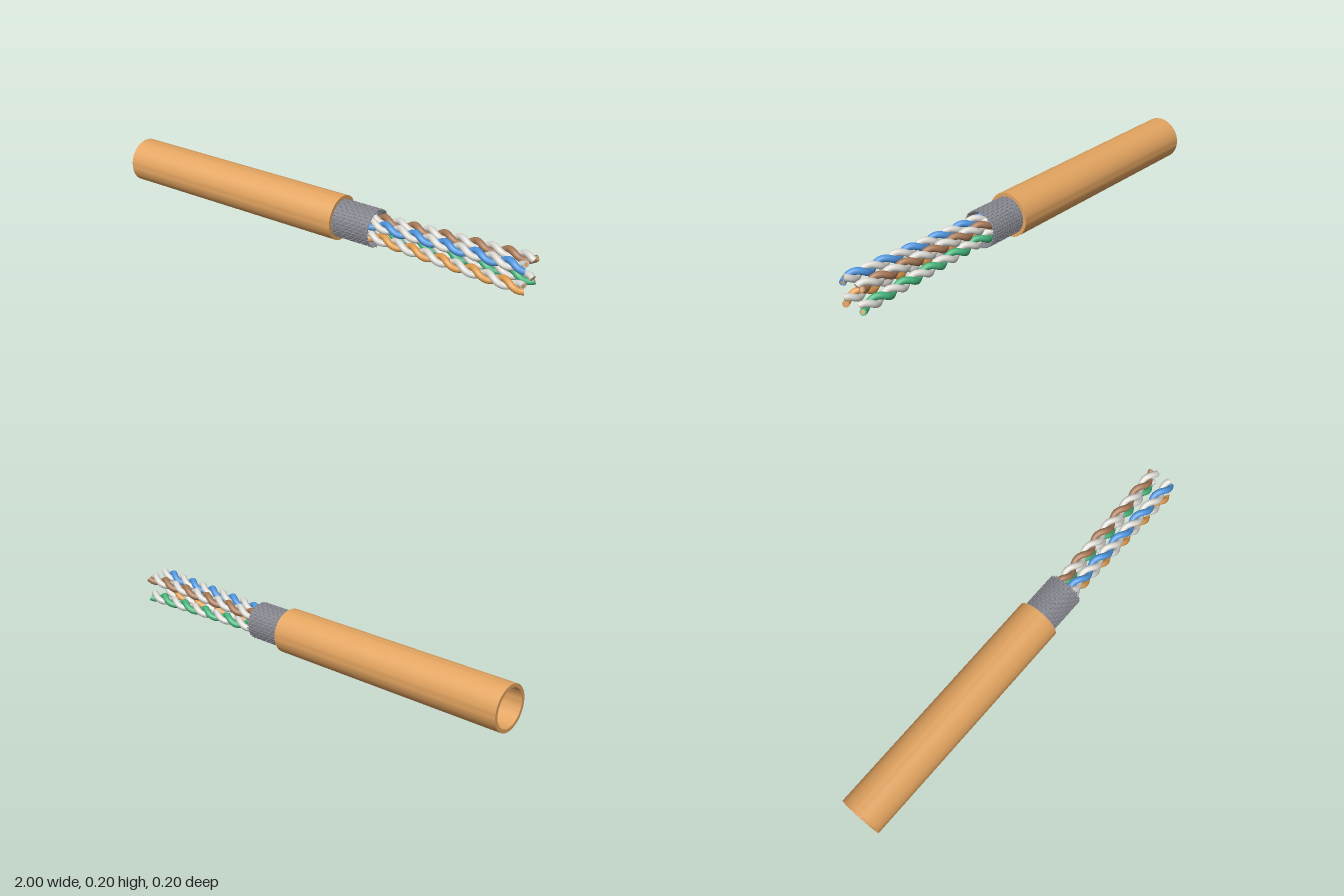
import * as THREE from 'three';
import { mergeGeometries, toCreasedNormals } from 'three/addons/utils/BufferGeometryUtils.js';

const AXIS_Y = 0.0985; // height of the cable axis

const mat = (name, color) => {
  const m = new THREE.MeshStandardMaterial({ color });
  m.name = name;
  return m;
};

// A curve defined by a function of t in 0..1
class FnCurve extends THREE.Curve {
  constructor(fn) { super(); this.fn = fn; }
  getPoint(t, target = new THREE.Vector3()) { return target.set(...this.fn(t)); }
}

const add = (parent, name, geometry, material) => {
  const mesh = new THREE.Mesh(geometry, material);
  mesh.name = name;
  parent.add(mesh);
  return mesh;
};

// Hollow pipe along x with sharp rims
function pipe(x0, x1, rOut, rIn) {
  const profile = [[rOut, x0], [rOut, x1], [rIn, x1], [rIn, x0], [rOut, x0]]
    .map(([r, x]) => new THREE.Vector2(r, x));
  return toCreasedNormals(new THREE.LatheGeometry(profile, 64).rotateZ(-Math.PI / 2), 0.6);
}

export function createModel() {
  const M = {
    jacket: mat('jacket orange', 0xe3a460),
    shield: mat('shield grey', 0x85868e),
    white: mat('wire white', 0xd9d8d2),
    blue: mat('wire blue', 0x4e95dd),
    brown: mat('wire brown', 0xa67857),
    orange: mat('wire orange', 0xe09d4e),
    green: mat('wire green', 0x46b47c),
    copper: mat('copper', 0xd6a676),
  };
  const model = new THREE.Group();
  model.name = 'strippedCable';
  const cable = new THREE.Group();
  cable.name = 'cable';
  cable.position.y = AXIS_Y;
  model.add(cable);

  // Outer jacket, open at both ends
  add(cable, 'jacket', pipe(-1, 0.125, 0.0985, 0.083), M.jacket);

  // Woven shield: backing sleeve, lengthwise strands and hoops passing over and under
  const shield = new THREE.Group();
  shield.name = 'braidedShield';
  cable.add(shield);
  const X0 = 0.1, X1 = 0.306, R = 0.0795, WAVE = 0.0011, STRAND_R = 0.0025;
  const COUNT = 36, HOOPS = 14, STEP = (X1 - X0) / HOOPS;
  add(shield, 'shieldSleeve', pipe(X0, X1 - 0.003, 0.0798, 0.0782), M.shield);

  const strands = [];
  for (let i = 0; i < COUNT; i++) {
    const a = (i / COUNT) * Math.PI * 2;
    const len = X1 - X0 + (i % 3) * 0.0025; // frayed end
    const curve = new FnCurve((t) => {
      const x = t * len;
      const r = R + WAVE * Math.cos(Math.PI * (x / STEP - 0.5 + i));
      return [X0 + x, r * Math.cos(a), r * Math.sin(a)];
    });
    strands.push(new THREE.TubeGeometry(curve, 56, STRAND_R, 12));
  }
  add(shield, 'shieldStrands', mergeGeometries(strands), M.shield);

  const hoops = [];
  for (let j = 0; j < HOOPS; j++) {
    const curve = new FnCurve((t) => {
      const a = t * Math.PI * 2;
      const r = R - WAVE * Math.cos(Math.PI * (t * COUNT + j));
      return [X0 + (j + 0.5) * STEP, r * Math.cos(a), r * Math.sin(a)];
    });
    hoops.push(new THREE.TubeGeometry(curve, COUNT * 4, STRAND_R, 12, true));
  }
  add(shield, 'shieldHoops', mergeGeometries(hoops), M.shield);

  // Twisted pairs fanning out slightly towards the free end
  const START = 0.16, END = 0.991, PITCH = 0.14;
  const WIRE_R = 0.0142, TWIST_R = 0.0138;
  const Z = new THREE.Vector3(0, 0, 1);

  function wire(parent, name, material, sy, sz, endAngle) {
    const curve = new FnCurve((t) => {
      const x = START + t * (END - START);
      const spread = 0.0445 - (END - x) * 0.024;
      const a = endAngle - ((END - x) / PITCH) * Math.PI * 2;
      return [x, sy * spread + TWIST_R * Math.cos(a), sz * spread + TWIST_R * Math.sin(a)];
    });
    const group = new THREE.Group();
    group.name = name;
    parent.add(group);
    add(group, 'insulation', new THREE.TubeGeometry(curve, 150, WIRE_R, 16), material);
    // Cut faces with the copper core showing
    for (const t of [0, 1]) {
      const dir = curve.getTangent(t).multiplyScalar(t ? 1 : -1);
      const face = add(group, 'cutFace', new THREE.CircleGeometry(WIRE_R, 16), material);
      const core = add(group, 'copperCore',
        new THREE.CylinderGeometry(0.009, 0.009, 0.002, 16).rotateX(Math.PI / 2), M.copper);
      for (const part of [face, core]) {
        part.position.copy(curve.getPoint(t));
        part.quaternion.setFromUnitVectors(Z, dir);
      }
    }
  }

  // colour, side in y, side in z, twist angle at the free end in degrees
  const pairs = [
    ['blue', 1, 1, 161],
    ['brown', 1, -1, 265],
    ['orange', -1, 1, 194],
    ['green', -1, -1, 228],
  ];
  for (const [color, sy, sz, deg] of pairs) {
    const pair = new THREE.Group();
    pair.name = color + 'Pair';
    cable.add(pair);
    const a = THREE.MathUtils.degToRad(deg);
    wire(pair, color + 'Wire', M[color], sy, sz, a);
    wire(pair, 'whiteWire', M.white, sy, sz, a + Math.PI);
  }
  return model;
}
